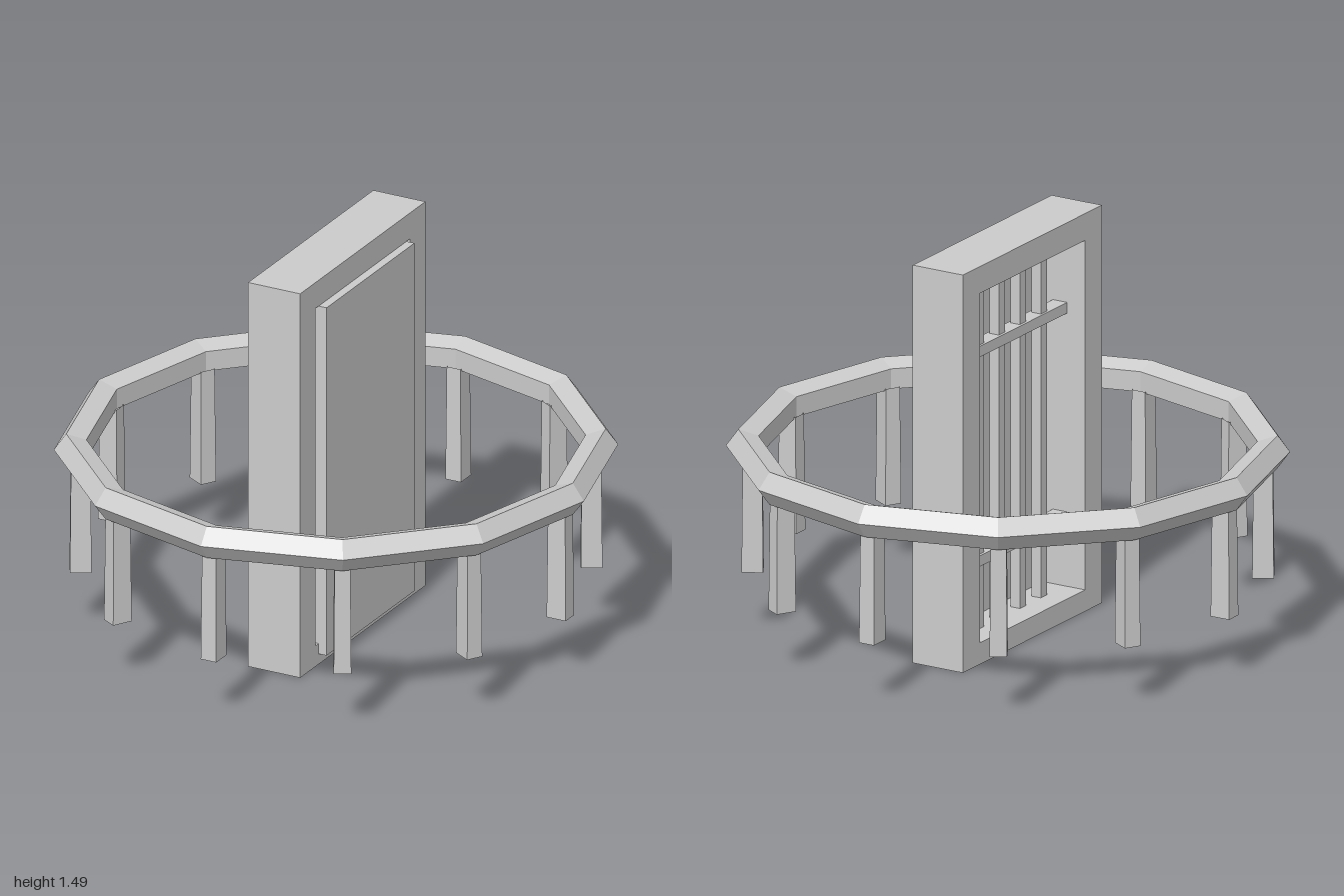
import * as THREE from 'three';

const material = new THREE.MeshStandardMaterial({ color: 0xcccccc, flatShading: true });
const openMaterial = new THREE.MeshStandardMaterial({ color: 0xcccccc, flatShading: true, side: THREE.DoubleSide });

export function createModel() {
  const model = new THREE.Group();
  model.name = 'doorWithRingRail';

  const add = (name, geometry, parent = model, mat = material) => {
    const mesh = new THREE.Mesh(geometry, mat);
    mesh.name = name;
    parent.add(mesh);
    return mesh;
  };
  const box = (name, x0, x1, y0, y1, z0, z1, parent) => {
    const mesh = add(name, new THREE.BoxGeometry(x1 - x0, y1 - y0, z1 - z0), parent);
    mesh.position.set((x0 + x1) / 2, (y0 + y1) / 2, (z0 + z1) / 2);
  };

  // Twelve-sided rail with a five-sided section
  const tube = 0.064;
  const rail = add('ringRail', new THREE.TorusGeometry(1 - tube, tube, 5, 12).rotateX(Math.PI / 2));
  rail.position.y = 0.69;

  // Hollow square legs under each rail corner, slightly wider at the foot
  const legGeometry = new THREE.CylinderGeometry(0.0415, 0.0465, 0.434, 4, 1, true);
  legGeometry.rotateY(Math.PI / 4).scale(1.17, 1, 0.95);
  const legs = new THREE.Group();
  legs.name = 'railLegs';
  model.add(legs);
  for (let i = 0; i < 12; i++) {
    const a = (i * Math.PI) / 6;
    const leg = add('railLeg', legGeometry, legs, openMaterial);
    leg.position.set(Math.cos(a) * 0.905, 0.443, -Math.sin(a) * 0.905);
    leg.rotation.y = a;
  }

  // Door frame: a thick slab with a through opening, drawn in (-z, y)
  const rect = (target, z0, z1, y0, y1) =>
    target.moveTo(-z1, y0).lineTo(-z0, y0).lineTo(-z0, y1).lineTo(-z1, y1).closePath();
  const frameShape = new THREE.Shape();
  rect(frameShape, -0.46, 0.467, 0, 1.485);
  const opening = new THREE.Path();
  rect(opening, -0.345, 0.355, 0.08, 1.385);
  frameShape.holes.push(opening);
  const frameGeometry = new THREE.ExtrudeGeometry(frameShape, { depth: 0.21, bevelEnabled: false });
  frameGeometry.rotateY(Math.PI / 2).translate(-0.1, 0, 0);
  add('doorFrame', frameGeometry);

  // Panel set partly into the opening
  box('doorPanel', 0.077, 0.142, 0.04, 1.385, -0.32, 0.33);

  // Grille inside the opening
  const grille = new THREE.Group();
  grille.name = 'grille';
  model.add(grille);
  for (let i = 1; i <= 4; i++) {
    const z = -0.345 + i * 0.14;
    box('verticalBar', -0.015, 0.025, 0.08, 1.385, z - 0.02, z + 0.02, grille);
  }
  for (const y of [0.338, 1.12]) {
    box('crossBar', -0.025, 0.035, y - 0.02, y + 0.02, -0.345, 0.355, grille);
  }

  return model;
}
